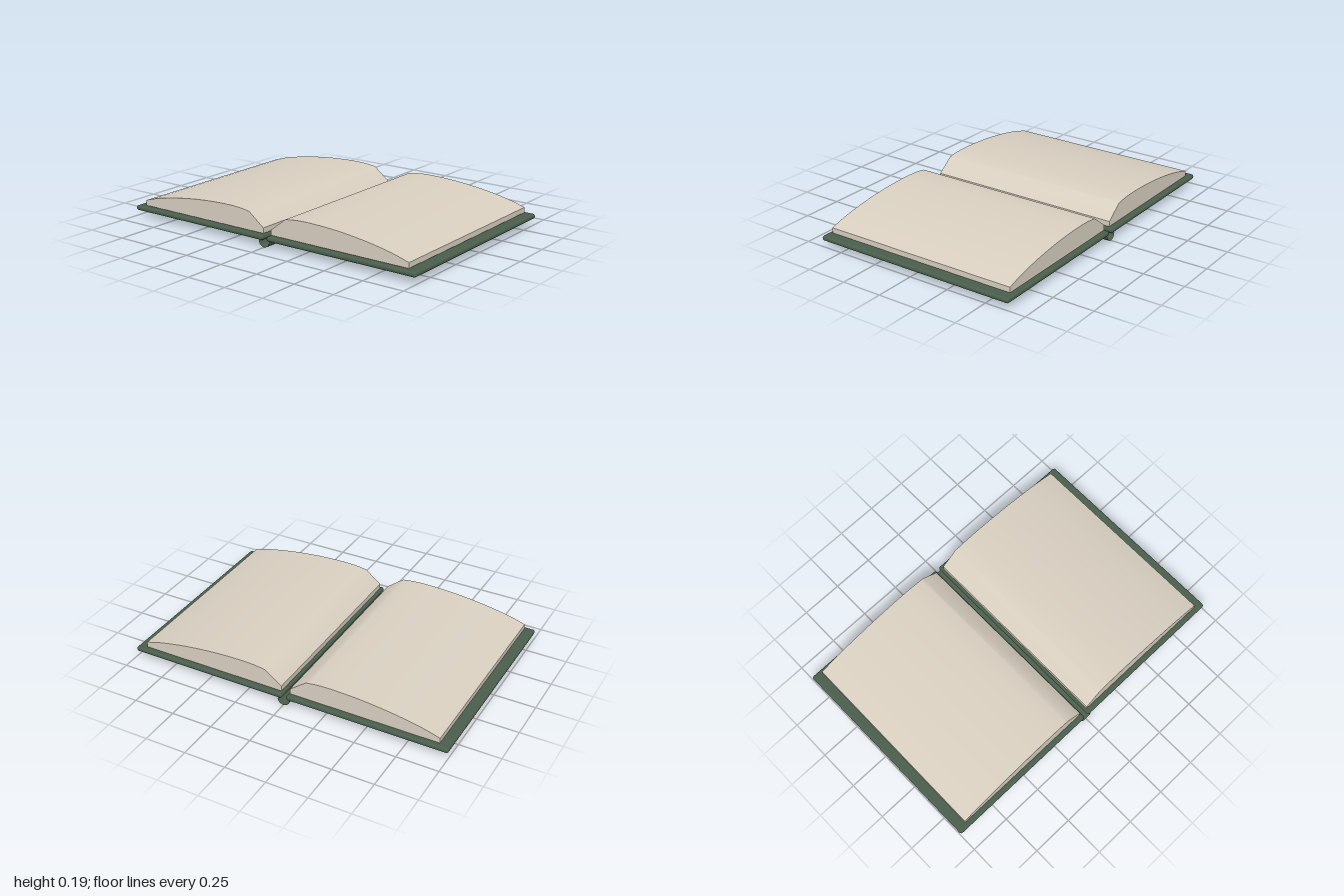
import * as THREE from 'three';
import { toCreasedNormals } from 'three/addons/utils/BufferGeometryUtils.js';
import { RoundedBoxGeometry } from 'three/addons/geometries/RoundedBoxGeometry.js';

export function createModel() {
  const cloth = new THREE.MeshStandardMaterial({ color: 0x4a5e4c });
  cloth.name = 'green cloth';
  cloth.side = THREE.DoubleSide;
  const paper = new THREE.MeshStandardMaterial({ color: 0xd8cfc0 });
  paper.name = 'cream paper';

  const book = new THREE.Group();
  book.name = 'openBook';

  const add = (name, geometry, material, x, y, z) => {
    const mesh = new THREE.Mesh(geometry, material);
    mesh.name = name;
    mesh.position.set(x, y, z);
    book.add(mesh);
    return mesh;
  };

  // Domed page block profile, side is +1 (left) or -1 (right)
  const pageGeometry = (side) => {
    const dome = [[0.13, 0.178], [0.2, 0.187], [0.3, 0.19], [0.47, 0.183],
      [0.66, 0.162], [0.83, 0.131], [0.94, 0.1]];
    const curve = new THREE.SplineCurve(dome.map(([x, y]) => new THREE.Vector2(x, y)));
    const outline = [
      new THREE.Vector2(0.028, 0.068),
      new THREE.Vector2(0.028, 0.1),
      ...curve.getPoints(18),
      new THREE.Vector2(0.94, 0.068),
    ].map((p) => new THREE.Vector2(p.x * side, p.y));
    const geometry = new THREE.ExtrudeGeometry(new THREE.Shape(outline), {
      depth: 1.226, bevelEnabled: false,
    });
    return toCreasedNormals(geometry, 0.75);
  };

  // Cover board and page block for each half
  for (const [label, side] of [['left', 1], ['right', -1]]) {
    add(label + 'Cover', new RoundedBoxGeometry(0.987, 0.03, 1.286, 4, 0.014),
      cloth, side * 0.5065, 0.05, 0);
    add(label + 'Pages', pageGeometry(side), paper, 0, 0, -0.613);
  }

  // Spine: open half tube hanging under the gap between the covers
  const spine = new THREE.CylinderGeometry(0.036, 0.036, 1.286, 16, 1, true, -Math.PI / 2, Math.PI);
  spine.rotateX(Math.PI / 2);
  add('spine', spine, cloth, 0, 0.036, 0);

  return book;
}
